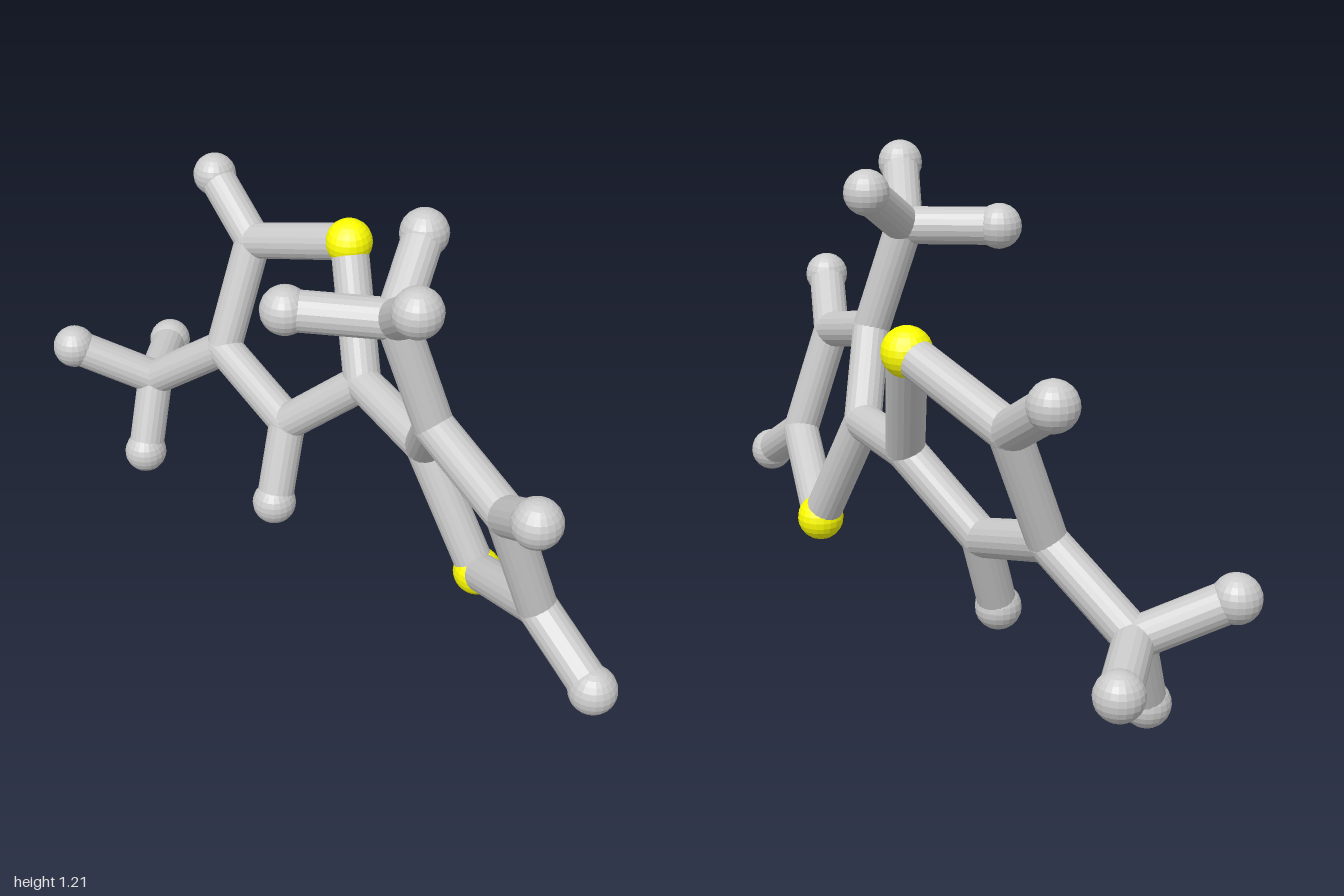
import * as THREE from 'three';

const SIDES = 20;
const BOND_RADIUS = 0.05;
const RADII = { carbon: 0.051, hydrogen: 0.06, sulfur: 0.063 };

const grey = new THREE.MeshStandardMaterial({ color: 0xcccccc, flatShading: true });
const yellow = new THREE.MeshStandardMaterial({ color: 0xffff00, flatShading: true });

// Each half: a five-membered ring, its ring hydrogens and one methyl branch.
// Ring order: sulfur, linking carbon, then round to the carbon beside sulfur.
const HALVES = [
  {
    name: 'rightHalf',
    ring: [[-0.23, 0.857, -0.247], [-0.05, 0.545, -0.16], [-0.24, 0.355, -0.05], [-0.535, 0.445, -0.04], [-0.555, 0.74, -0.16]],
    hydrogens: [[2, [-0.2, 0.14, 0.025]], [4, [-0.755, 0.857, -0.17]]],
    branch: { from: 3, carbon: [-0.755, 0.265, 0.06], tips: [[-0.885, 0.375, 0.245], [-0.94, 0.24, -0.105], [-0.705, 0.063, 0.135]] },
  },
  {
    name: 'leftHalf',
    ring: [[0.42, 0.213, -0.18], [0.25, 0.53, -0.13], [0.415, 0.73, -0.02], [0.71, 0.655, 0], [0.74, 0.36, -0.09]],
    hydrogens: [[3, [0.88, 0.775, 0.068]], [4, [0.94, 0.24, -0.097]]],
    branch: { from: 2, carbon: [0.35, 1.02, 0.05], tips: [[0.24, 1.142, -0.115], [0.18, 1.03, 0.242], [0.525, 1.155, 0.13]] },
  },
];

function atom(kind, p) {
  const geometry = new THREE.SphereGeometry(RADII[kind], SIDES, SIDES / 2 + 2);
  const mesh = new THREE.Mesh(geometry, kind === 'sulfur' ? yellow : grey);
  mesh.name = kind + 'Atom';
  mesh.position.set(...p);
  return mesh;
}

// Straight rod between two atom centres
function bond(a, b, name) {
  const start = new THREE.Vector3(...a);
  const end = new THREE.Vector3(...b);
  const dir = end.clone().sub(start);
  const mesh = new THREE.Mesh(new THREE.CylinderGeometry(BOND_RADIUS, BOND_RADIUS, dir.length(), SIDES), grey);
  mesh.name = name;
  mesh.position.copy(start).add(end).multiplyScalar(0.5);
  mesh.quaternion.setFromUnitVectors(new THREE.Vector3(0, 1, 0), dir.normalize());
  return mesh;
}

function buildHalf({ name, ring, hydrogens, branch }) {
  const half = new THREE.Group();
  half.name = name;

  // Closed ring
  ring.forEach((p, i) => {
    half.add(atom(i === 0 ? 'sulfur' : 'carbon', p));
    half.add(bond(p, ring[(i + 1) % ring.length], 'ringBond'));
  });

  // Hydrogens on the ring
  for (const [i, p] of hydrogens) half.add(atom('hydrogen', p), bond(ring[i], p, 'hydrogenBond'));

  // Methyl branch with three tips
  const methyl = new THREE.Group();
  methyl.name = 'methylBranch';
  methyl.add(atom('carbon', branch.carbon), bond(ring[branch.from], branch.carbon, 'branchBond'));
  for (const p of branch.tips) methyl.add(atom('hydrogen', p), bond(branch.carbon, p, 'hydrogenBond'));
  half.add(methyl);
  return half;
}

export function createModel() {
  const model = new THREE.Group();
  model.name = 'moleculeModel';
  for (const half of HALVES) model.add(buildHalf(half));
  // Rod joining the two rings
  model.add(bond(HALVES[0].ring[1], HALVES[1].ring[1], 'linkingBond'));
  return model;
}
